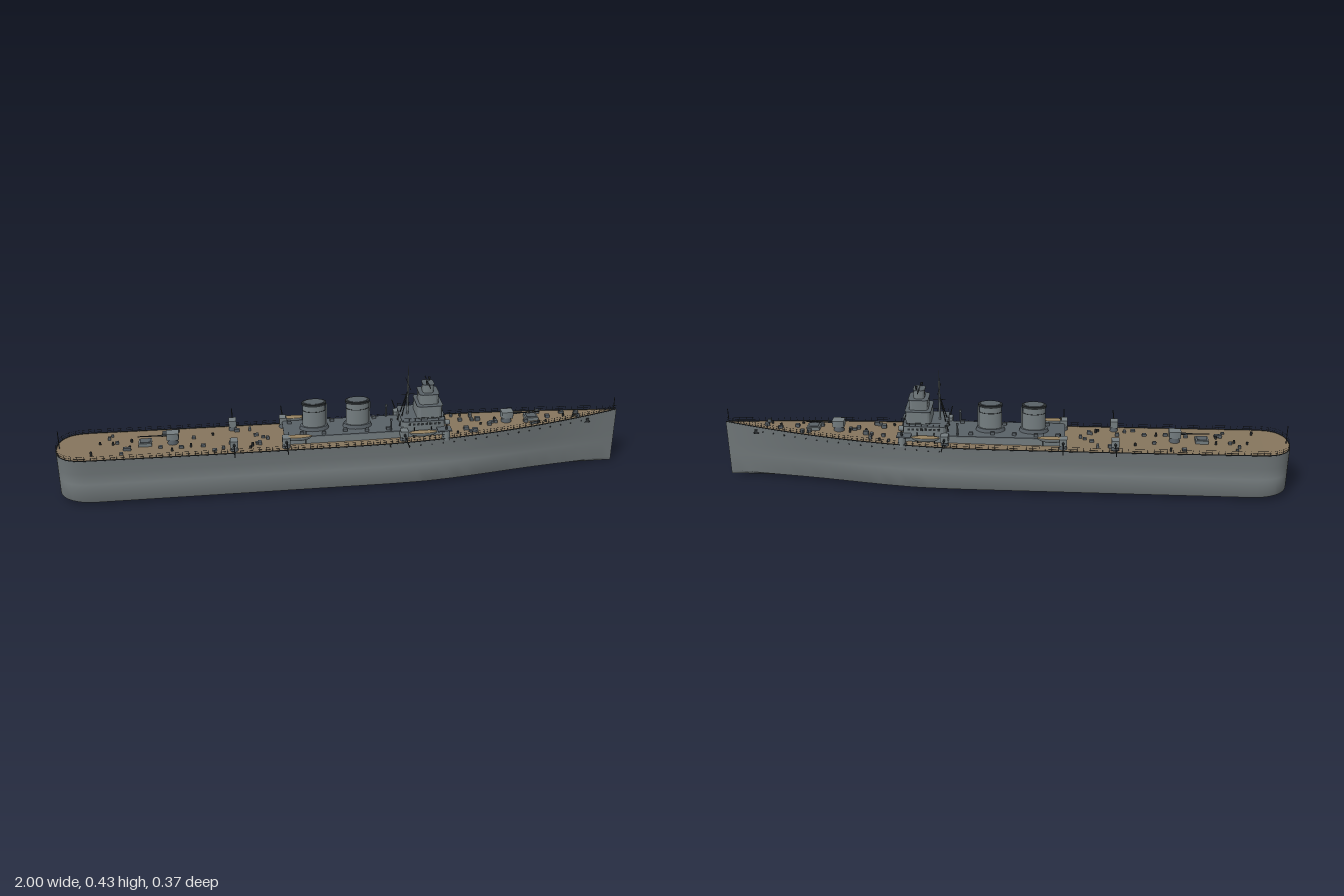
import * as THREE from 'three';
import { mergeGeometries, toCreasedNormals } from 'three/addons/utils/BufferGeometryUtils.js';

const mat = (name, color, side = THREE.FrontSide) => {
  const m = new THREE.MeshStandardMaterial({ color, side });
  m.name = name;
  return m;
};

// Half beam and deck height along the length (bow at +x)
const halfBeam = (x) => {
  if (x > 0.1) return 0.103 * (1 - ((x - 0.1) / 0.9) ** 2);
  if (x < -0.85) return 0.103 * Math.max(0, 1 - ((-0.85 - x) / 0.15) ** 4) ** 0.45;
  return 0.103;
};
const deckY = (x) => 0.174 + (x > 0 ? 0.034 * x ** 1.8 : 0.005 * x * x);
const stations = [];
for (let i = 0; i <= 64; i++) {
  const u = i / 64;
  stations.push(u < 0.25 ? -1 + 0.2 * (u / 0.25) ** 2 : -0.8 + 1.8 * (u - 0.25) / 0.75);
}

// Skin a row of equal-length cross-sections
function skin(rows) {
  const pos = rows.flat(2), idx = [], n = rows[0].length;
  for (let i = 0; i < rows.length - 1; i++) for (let j = 0; j < n - 1; j++) {
    const a = i * n + j, b = a + n;
    idx.push(a, b, a + 1, b, b + 1, a + 1);
  }
  const g = new THREE.BufferGeometry();
  g.setAttribute('position', new THREE.Float32BufferAttribute(pos, 3));
  g.setIndex(idx);
  return toCreasedNormals(g, 0.6);
}

function hullGeometry() {
  const section = [[0, 0], [0.5, 0.007], [0.96, 0.013], [1, 0.02], [1, 0.07], [0.975, 0.084], [0.95, 0.093], [0.955, 0.125], [1, 1]];
  const rows = stations.map((x) => {
    const w = halfBeam(x), top = deckY(x);
    const fine = 0.35 * THREE.MathUtils.smoothstep(x, 0.25, 0.8);
    const lift = 0.012 * THREE.MathUtils.smoothstep(-x, 0.88, 1);
    const half = section.map(([k, y]) => {
      const yy = y === 1 ? top : Math.max(y, y + lift * (1 - y / 0.13));
      return [x, yy, k * w * (1 - fine * (1 - yy / top))];
    });
    return [...half.slice(1).reverse().map(([a, b, c]) => [a, b, -c]), ...half];
  });
  return skin(rows);
}

const box = (w, h, d, x = 0, y = 0, z = 0) => new THREE.BoxGeometry(w, h, d).translate(x, y, z);
const cyl = (r0, r1, h, x = 0, y = 0, z = 0, n = 16) => new THREE.CylinderGeometry(r0, r1, h, n).translate(x, y, z);

// Thin rod between two points
function rod(a, b, r, r2 = r) {
  const p = new THREE.Vector3(...a), d = new THREE.Vector3(...b).sub(p);
  const g = new THREE.CylinderGeometry(r2, r, d.length(), 8);
  g.applyQuaternion(new THREE.Quaternion().setFromUnitVectors(new THREE.Vector3(0, 1, 0), d.clone().normalize()));
  return g.translate(...p.addScaledVector(d, 0.5).toArray());
}

// Rounded block spanning x0..x1, y0..y1 and +-hz
function block(x0, x1, hz, y0, y1, r) {
  const s = new THREE.Shape();
  s.moveTo(x0 + r, -hz).lineTo(x1 - r, -hz).absarc(x1 - r, -hz + r, r, -Math.PI / 2, 0)
    .lineTo(x1, hz - r).absarc(x1 - r, hz - r, r, 0, Math.PI / 2)
    .lineTo(x0 + r, hz).absarc(x0 + r, hz - r, r, Math.PI / 2, Math.PI)
    .lineTo(x0, -hz + r).absarc(x0 + r, -hz + r, r, Math.PI, Math.PI * 1.5);
  const g = new THREE.ExtrudeGeometry(s, { depth: y1 - y0, bevelEnabled: false, curveSegments: 6 });
  return toCreasedNormals(g.rotateX(-Math.PI / 2).translate(0, y0, 0), 0.6);
}

export function createModel() {
  const ship = new THREE.Group();
  ship.name = 'warship';
  const hullGrey = mat('hull grey', 0x6f7678, THREE.DoubleSide);
  const grey = mat('superstructure grey', 0x747d80);
  const deckGrey = mat('deck grey', 0x596167);
  const wood = mat('wood deck', 0x86755d, THREE.DoubleSide);
  const dark = mat('dark metal', 0x2b2f31);
  const boatWood = mat('boat wood', 0x94805f);
  const add = (name, geo, m, parent = ship) => {
    const mesh = new THREE.Mesh(Array.isArray(geo) ? mergeGeometries(geo.map((g) => (g.index ? g.toNonIndexed() : g))) : geo, m);
    mesh.name = name;
    parent.add(mesh);
    return mesh;
  };

  // Hull and deck
  add('hull', hullGeometry(), hullGrey);
  add('deck', skin(stations.map((x) => [-1, 1].map((s) => [x, deckY(x), -s * halfBeam(x)]).reverse())), wood);

  // Deck edge, railings, portholes
  const edge = (s, inset, dy) => new THREE.CatmullRomCurve3(stations.map((x) =>
    new THREE.Vector3(x * 0.998, deckY(x) + dy, s * halfBeam(x) * (1 - inset))));
  const rails = [], portholes = [];
  for (const s of [-1, 1]) {
    add('deckEdge', new THREE.TubeGeometry(edge(s, 0, 0.001), 160, 0.0018, 5), dark);
    for (const h of [0.008, 0.016]) rails.push(new THREE.TubeGeometry(edge(s, 0.02, h), 160, 0.0004, 3));
    for (let x = -0.985; x < 0.99; x += 0.022) rails.push(box(0.0012, 0.016, 0.0012, x, deckY(x) + 0.008, s * halfBeam(x) * 0.98));
    for (let x = 0.22; x < 0.9; x += 0.04) {
      portholes.push(new THREE.CylinderGeometry(0.0028, 0.0028, 0.003, 10).rotateX(Math.PI / 2)
        .translate(x, deckY(x) - 0.016, s * halfBeam(x) * 0.985));
    }
    add('anchor', [box(0.01, 0.014, 0.005, 0.885, 0.184, s * 0.0245), box(0.018, 0.004, 0.005, 0.885, 0.177, s * 0.0245)], dark);
  }
  add('railings', rails, dark);
  add('portholes', portholes, dark);
  add('flagstaffs', [rod([-0.988, 0.178, 0], [-0.988, 0.245, 0], 0.0015), rod([0.988, 0.207, 0], [0.988, 0.258, 0], 0.0015)], dark);
  add('boatBoom', rod([0.15, 0.172, 0.1], [0.15, 0.172, 0.12], 0.0015), dark);

  // Midship deckhouse
  add('deckhouse', block(-0.21, 0.35, 0.06, 0.17, 0.2, 0.012), grey);
  add('deckhouseRoof', block(-0.215, 0.355, 0.063, 0.2, 0.204, 0.012), deckGrey);

  // Stepped bridge tower
  [[0.2, 0.352, 0.065, 0.204, 0.236], [0.255, 0.343, 0.05, 0.238, 0.284], [0.265, 0.332, 0.035, 0.286, 0.322], [0.278, 0.316, 0.022, 0.324, 0.354]]
    .forEach(([x0, x1, hz, y0, y1], i) => {
      add('bridgeTier' + (i + 1), block(x0, x1, hz, y0, y1, 0.012), grey);
      add('bridgeTierRoof' + (i + 1), block(x0 - 0.002, x1 + 0.002, hz + 0.002, y1, y1 + 0.003, 0.013), deckGrey);
    });
  const panes = [];
  for (let i = -4; i <= 4; i++) panes.push(box(0.002, 0.008, 0.008, 0.3525, 0.227, i * 0.011));
  for (const s of [-1, 1]) for (let i = 0; i < 8; i++) panes.push(box(0.009, 0.008, 0.002, 0.225 + i * 0.015, 0.227, s * 0.0655));
  add('bridgeWindows', panes, dark);
  const bridgeRail = [];
  for (const s of [-1, 1]) {
    bridgeRail.push(rod([0.2, 0.25, s * 0.063], [0.35, 0.25, s * 0.063], 0.0007));
    for (let i = 0; i < 8; i++) bridgeRail.push(box(0.001, 0.013, 0.001, 0.202 + i * 0.021, 0.2445, s * 0.063));
  }
  bridgeRail.push(rod([0.35, 0.25, -0.063], [0.35, 0.25, 0.063], 0.0007));
  for (let i = -3; i <= 3; i++) bridgeRail.push(box(0.001, 0.013, 0.001, 0.35, 0.2445, i * 0.02));
  add('bridgeRailing', bridgeRail, dark);
  add('rangefinder', [rod([0.297, 0.357, -0.052], [0.297, 0.357, 0.052], 0.0016), cyl(0.002, 0.002, 0.014, 0.29, 0.362, 0.02), cyl(0.002, 0.002, 0.014, 0.305, 0.362, -0.016),
    box(0.007, 0.005, 0.006, 0.29, 0.368, 0.02), box(0.007, 0.005, 0.006, 0.305, 0.368, -0.016)], dark);

  // Tripod mast
  add('mast', [rod([0.227, 0.2, 0], [0.227, 0.385, 0], 0.004, 0.003), rod([0.227, 0.38, 0], [0.227, 0.425, 0], 0.0015, 0.001)], grey);
  add('mastRigging', [rod([0.195, 0.2, 0.025], [0.227, 0.33, 0], 0.002), rod([0.195, 0.2, -0.025], [0.227, 0.33, 0], 0.002),
    rod([0.227, 0.355, -0.05], [0.227, 0.355, 0.05], 0.001), rod([0.205, 0.315, 0], [0.25, 0.315, 0], 0.001)], dark);

  // Oval funnels with dark caps and rings
  for (const x of [-0.105, 0.048]) {
    const funnel = new THREE.Group();
    funnel.name = 'funnel';
    funnel.position.x = x;
    funnel.scale.z = 0.62;
    add('funnelBase', cyl(0.048, 0.052, 0.014, 0, 0.21, 0, 32), deckGrey, funnel);
    add('funnelBody', cyl(0.039, 0.041, 0.094, 0, 0.253, 0, 32), grey, funnel);
    add('funnelCap', [cyl(0.043, 0.043, 0.008, 0, 0.3, 0, 32), cyl(0.041, 0.041, 0.002, 0, 0.275, 0, 32)], dark, funnel);
    add('funnelMouth', cyl(0.034, 0.034, 0.002, 0, 0.3045, 0, 32), deckGrey, funnel);
    add('steamPipe', cyl(0.003, 0.003, 0.09, 0.043, 0.25, 0, 8), grey, funnel);
    ship.add(funnel);
  }

  // Gun mounts: built facing +x, then turned
  function gun(name, x, y, z, turn, size, reach) {
    const g = new THREE.Group();
    g.name = name;
    add('mountBase', cyl(size * 0.38, size * 0.45, 0.02, 0, 0.01, 0), deckGrey, g);
    add('gunHouse', block(-size * 0.5, size * 0.5, size * 0.42, 0.018, 0.042, size * 0.12), grey, g);
    add('barrel', [rod([size * 0.4, 0.03, 0], [reach, 0.031, 0], 0.0026, 0.0017), rod([size * 0.4, 0.03, 0], [size * 0.9, 0.03, 0], 0.004)], dark, g);
    g.position.set(x, y, z);
    g.rotation.y = turn;
    ship.add(g);
  }
  gun('foreGun', 0.59, 0.186, 0, 0, 0.042, 0.12);
  gun('aftGun', -0.6, 0.176, 0, Math.PI, 0.042, 0.12);
  for (const s of [-1, 1]) for (const x of [-0.39, -0.21, 0.203]) gun('sideGun', x, 0.173, s * 0.078, -s * Math.PI / 2, 0.032, 0.109);

  // Hatches and breakwater
  for (const x of [-0.695, 0.68]) {
    add('hatch', box(0.045, 0.012, 0.04, x, deckY(x) + 0.006, 0), grey);
    add('hatchLid', box(0.035, 0.003, 0.03, x, deckY(x) + 0.0135, 0), deckGrey);
  }

  // Boats, side platforms and searchlights
  for (const s of [-1, 1]) {
    for (const [x, y, z] of [[-0.17, 0.212, 0.076], [0.27, 0.206, 0.084]]) {
      const boat = new THREE.SphereGeometry(1, 20, 8, 0, Math.PI * 2, Math.PI / 2, Math.PI / 2).scale(0.05, 0.017, 0.012);
      add('boatHull', boat.translate(x, y, s * z), grey);
      add('boatCover', new THREE.SphereGeometry(1, 20, 6, 0, Math.PI * 2, 0, Math.PI / 2).scale(0.051, 0.004, 0.0125).translate(x, y, s * z), boatWood);
      add('davits', [-0.03, 0.03].map((d) => rod([x + d, 0.174, s * (z - 0.014)], [x + d, y + 0.014, s * (z - 0.008)], 0.0015)), dark);
    }
    add('bridgeWing', box(0.05, 0.004, 0.04, 0.345, 0.21, s * 0.078), deckGrey);
    add('wingSupport', cyl(0.013, 0.015, 0.035, 0.352, 0.191, s * 0.083), grey);
    add('searchlightPost', cyl(0.003, 0.004, 0.024, 0.352, 0.222, s * 0.085, 8), dark);
    add('searchlight', cyl(0.009, 0.009, 0.016, 0, 0, 0, 18).rotateZ(Math.PI / 2).translate(0.352, 0.24, s * 0.085), grey);
    add('searchlightLens', cyl(0.0075, 0.0075, 0.002, 0, 0, 0, 18).rotateZ(Math.PI / 2).translate(0.3605, 0.24, s * 0.085), dark);
    add('sideVent', [cyl(0.003, 0.003, 0.07, 0.16, 0.21, s * 0.056, 8), box(0.008, 0.006, 0.008, 0.16, 0.247, s * 0.056)], deckGrey);
  }

  // Small deck fittings: lockers, vents and bollards
  let seed = 7;
  const rnd = () => (seed = (seed * 16807) % 2147483647) / 2147483647;
  const lockers = [], vents = [];
  for (let i = 0; i < 64; i++) {
    const x = i % 2 ? -0.9 + rnd() * 0.65 : 0.4 + rnd() * 0.45;
    const z = (rnd() * 2 - 1) * halfBeam(x) * 0.78, h = 0.006 + rnd() * 0.008;
    if (i % 3) lockers.push(box(0.008 + rnd() * 0.01, h, 0.008 + rnd() * 0.006, x, deckY(x) + h / 2, z));
    else vents.push(cyl(0.004, 0.004, h, x, deckY(x) + h / 2, z, 10));
  }
  for (let i = 0; i < 10; i++) lockers.push(box(0.014, 0.01, 0.01, -0.19 + i * 0.038, 0.209, (i % 2 ? 1 : -1) * (0.038 + rnd() * 0.012)));
  add('lockers', lockers, deckGrey);
  add('vents', vents, dark);
  return ship;
}
